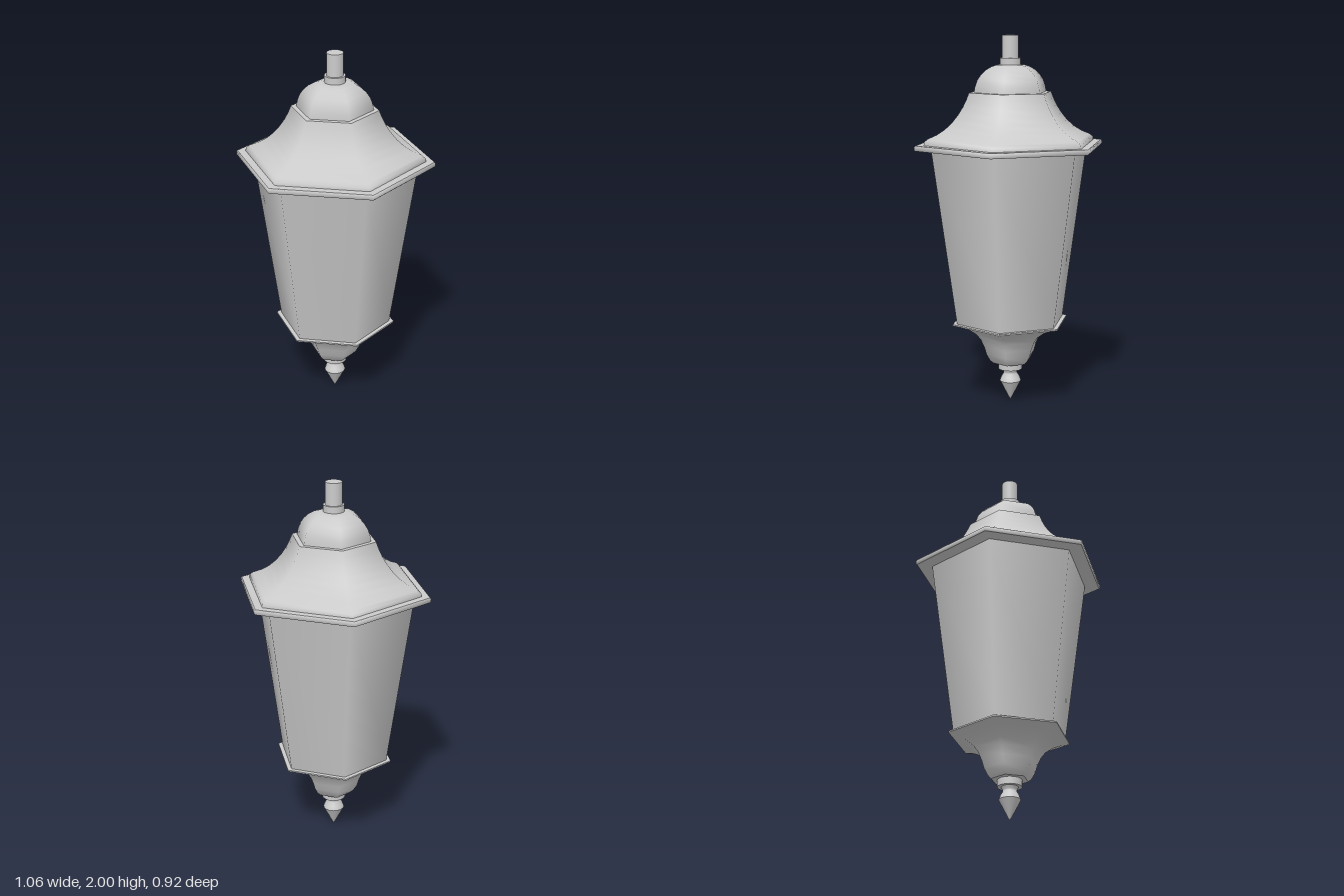
import * as THREE from 'three';

const material = new THREE.MeshStandardMaterial({ color: 0xcccccc, side: THREE.DoubleSide });

export function createModel() {
  const lantern = new THREE.Group();
  lantern.name = 'hangingLantern';

  // Revolves each profile (radius, height) separately, so edges between profiles stay sharp
  function turned(name, sides, ...profiles) {
    const part = new THREE.Group();
    part.name = name;
    for (const profile of profiles) {
      const points = profile.map(([r, y]) => new THREE.Vector2(r, y));
      // Starting a quarter turn round puts hexagon corners on the x axis
      const geometry = new THREE.LatheGeometry(points, sides, Math.PI / 2);
      part.add(new THREE.Mesh(geometry, material));
    }
    lantern.add(part);
  }

  // Straight-walled disc or hexagonal plate with flat faces
  function plate(name, sides, radius, bottom, top) {
    turned(name, sides,
      [[0, bottom], [radius, bottom]],
      [[radius, bottom], [radius, top]],
      [[radius, top], [0, top]]);
  }

  // Pointed finial under the lantern
  turned('finial', 16,
    [[0, 0], [0.03, 0.058], [0.058, 0.112]],
    [[0.058, 0.112], [0.05, 0.135], [0.037, 0.155], [0.038, 0.165], [0.046, 0.18]]);
  plate('finialCollar', 16, 0.065, 0.18, 0.218);

  // Hexagonal bowl with a thin projecting rim
  turned('bowl', 6,
    [[0, 0.218], [0.1, 0.218]],
    [[0.1, 0.218], [0.118, 0.235], [0.138, 0.27], [0.15, 0.31], [0.17, 0.355],
      [0.195, 0.387], [0.24, 0.418], [0.285, 0.436], [0.33, 0.447]],
    [[0.33, 0.447], [0.33, 0.455]],
    [[0.33, 0.455], [0, 0.455]]);

  // Tapered glass body
  turned('glass', 6, [[0.305, 0.455], [0.44, 1.402]]);

  // Roof: eave plate, flared skirt and flat upper ledge
  turned('eave', 6,
    [[0, 1.402], [0.525, 1.402]],
    [[0.525, 1.402], [0.531, 1.408], [0.531, 1.424], [0.525, 1.43]],
    [[0.525, 1.43], [0, 1.43]]);
  turned('roof', 6,
    [[0.48, 1.43], [0.477, 1.448], [0.46, 1.463], [0.41, 1.483], [0.365, 1.51],
      [0.325, 1.545], [0.293, 1.583], [0.265, 1.625], [0.245, 1.665], [0.231, 1.7]],
    [[0.231, 1.7], [0, 1.7]]);
  turned('dome', 6,
    [[0.203, 1.7], [0.198, 1.73], [0.185, 1.765], [0.165, 1.793], [0.138, 1.818],
      [0.105, 1.836], [0.075, 1.844], [0, 1.845]]);

  // Hanging rod and its collar
  plate('rodCollar', 16, 0.056, 1.835, 1.88);
  plate('rod', 24, 0.044, 1.88, 2);

  return lantern;
}
